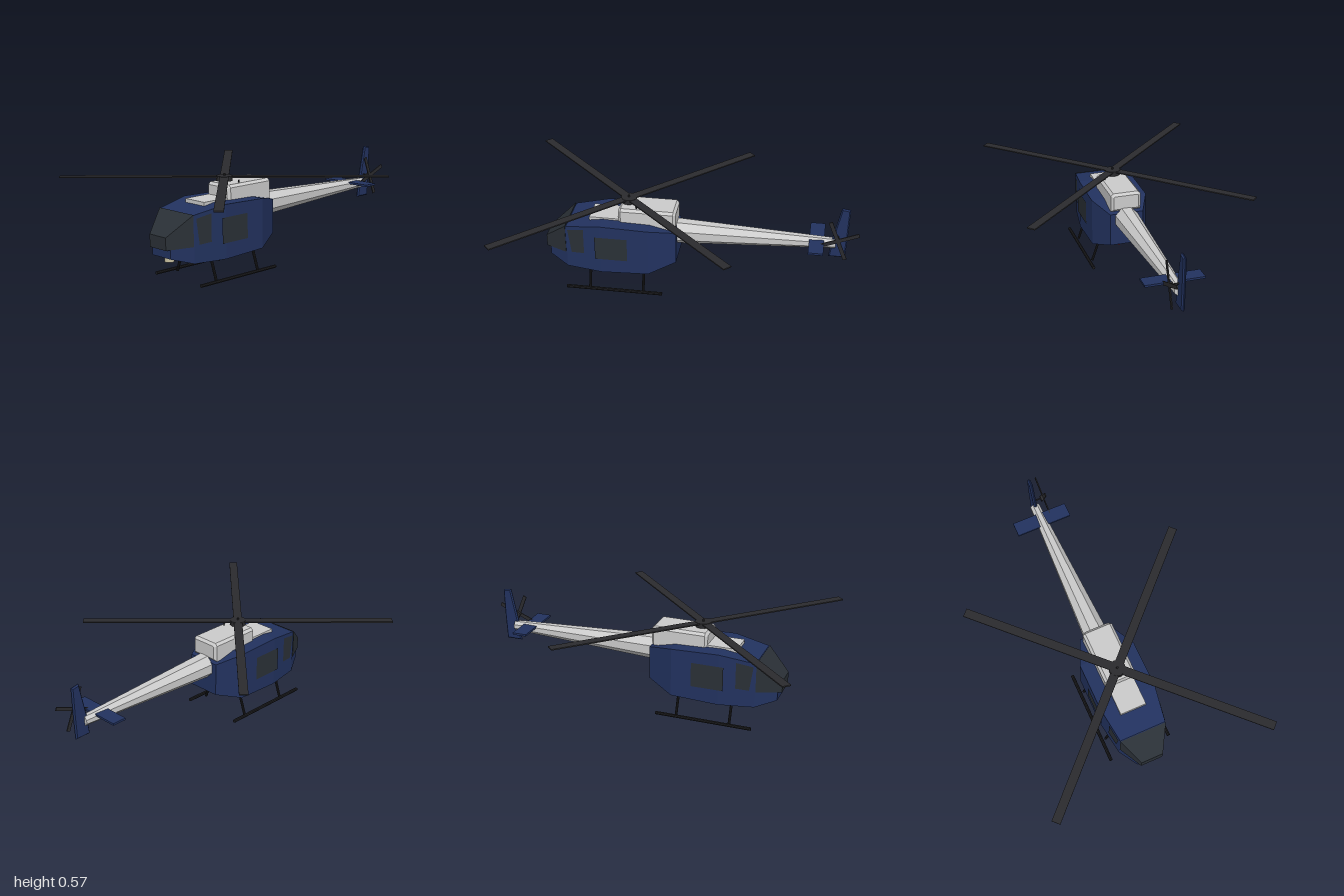
import * as THREE from 'three';

const mat = (color, side = THREE.FrontSide) =>
  new THREE.MeshStandardMaterial({ color, side, flatShading: true });
const navy = mat(0x22325f), grey = mat(0xcccccc), glass = mat(0x2a3036);
const pane = mat(0x2a3036, THREE.DoubleSide);
const rotorDark = mat(0x2b2b2e), black = mat(0x1c1c1e);

// Closed loft through rectangular sections [z, halfWidth, bottom, top], back to front
function loft(sections) {
  const rings = sections.map(([z, w, b, t]) => [[w, b, z], [w, t, z], [-w, t, z], [-w, b, z]]);
  const pos = [];
  const quad = (a, b, c, d) => pos.push(...a, ...b, ...c, ...a, ...c, ...d);
  for (let i = 0; i < rings.length - 1; i++) {
    for (let j = 0; j < 4; j++) {
      const k = (j + 1) % 4;
      quad(rings[i][j], rings[i][k], rings[i + 1][k], rings[i + 1][j]);
    }
  }
  quad(...[...rings[0]].reverse());
  quad(...rings[rings.length - 1]);
  const g = new THREE.BufferGeometry();
  g.setAttribute('position', new THREE.Float32BufferAttribute(pos, 3));
  g.computeVertexNormals();
  return g;
}

export function createModel() {
  const model = new THREE.Group();
  model.name = 'helicopter';
  const add = (name, geometry, material, x = 0, y = 0, z = 0, parent = model) => {
    const mesh = new THREE.Mesh(geometry, material);
    mesh.name = name;
    mesh.position.set(x, y, z);
    parent.add(mesh);
    return mesh;
  };
  const box = (x, y, z) => new THREE.BoxGeometry(x, y, z);
  const cyl = (r, h, n = 12) => new THREE.CylinderGeometry(r, r, h, n);

  // Cabin and wraparound windscreen
  add('fuselage', loft([
    [0.045, 0.10, 0.187, 0.384],
    [0.20, 0.168, 0.133, 0.42],
    [0.48, 0.168, 0.122, 0.428],
    [0.685, 0.138, 0.128, 0.395],
    [0.80, 0.074, 0.162, 0.27],
  ]), navy);
  add('windscreen', loft([
    [0.69, 0.139, 0.222, 0.397],
    [0.824, 0.066, 0.212, 0.283],
  ]), glass);

  // Side windows, laid just outside the hull [z, y]
  const windows = {
    doorWindow: [[0.675, 0.375], [0.578, 0.392], [0.578, 0.235], [0.655, 0.23]],
    cabinWindow: [[0.51, 0.357], [0.32, 0.357], [0.32, 0.213], [0.51, 0.213]],
  };
  for (const [name, outline] of Object.entries(windows)) {
    for (const s of [1, -1]) {
      const g = new THREE.ShapeGeometry(new THREE.Shape(outline.map((p) => new THREE.Vector2(...p))));
      const p = g.attributes.position;
      for (let i = 0; i < p.count; i++) {
        const z = p.getX(i);
        const hull = name === 'doorWindow' ? 0.168 - (z - 0.48) * 0.146 : 0.168;
        p.setXYZ(i, s * (hull + 0.004), p.getY(i), z);
      }
      g.computeVertexNormals();
      add(name, g, pane);
    }
  }

  // Engine cowling with chamfered edges, and roof plate ahead of it
  const bevel = 0.015;
  const cowlShape = new THREE.Shape();
  const cw = 0.09 - bevel, c = 0.006;
  cowlShape.moveTo(-cw, 0.41).lineTo(cw, 0.41).lineTo(cw, 0.492 - c).lineTo(cw - c, 0.492);
  cowlShape.lineTo(-cw + c, 0.492).lineTo(-cw, 0.492 - c);
  add('engineCowling', new THREE.ExtrudeGeometry(cowlShape, {
    depth: 0.335 - 2 * bevel, bevelEnabled: true, bevelSize: bevel, bevelThickness: bevel, bevelSegments: 1,
  }), grey, 0, 0, 0.05 + bevel);
  add('roofPlate', box(0.155, 0.03, 0.2), grey, 0, 0.422, 0.457);
  add('antenna', cyl(0.004, 0.03, 6), black, 0.062, 0.507, 0.28);

  // Octagonal tapering tail boom
  const boom = new THREE.CylinderGeometry(0.0735, 0.03, 0.915, 8, 1, false, Math.PI / 8).rotateX(Math.PI / 2);
  add('tailBoom', boom, grey, 0, 0.346, -0.4075);
  add('tailplane', box(0.336, 0.012, 0.086), navy, 0, 0.363, -0.757);

  // Tail fin, outlined in [z, y]
  const finShape = new THREE.Shape([
    [-0.836, 0.262], [-0.85, 0.37], [-0.892, 0.568], [-0.929, 0.562], [-0.925, 0.4], [-0.918, 0.262],
  ].map(([z, y]) => new THREE.Vector2(-z, y)));
  const fin = new THREE.ExtrudeGeometry(finShape, {
    depth: 0.004, bevelEnabled: true, bevelSize: 0.007, bevelThickness: 0.008, bevelSegments: 1,
  });
  fin.translate(0, 0, -0.002).rotateY(Math.PI / 2);
  add('tailFin', fin, navy);

  // Main rotor: four diagonal blades on a short mast
  const rotor = new THREE.Group();
  rotor.name = 'mainRotor';
  rotor.position.set(0, 0.54, 0.333);
  model.add(rotor);
  add('mast', cyl(0.018, 0.06), rotorDark, 0, -0.028, 0, rotor);
  add('hub', cyl(0.047, 0.028), rotorDark, 0, -0.008, 0, rotor);
  add('hubCap', cyl(0.006, 0.02, 8), rotorDark, 0, 0.008, 0, rotor);
  for (let i = 0; i < 4; i++) {
    const blade = add('mainBlade', box(0.918, 0.007, 0.05).translate(0.459, 0, 0), rotorDark, 0, 0, 0, rotor);
    blade.rotation.y = Math.PI / 4 + i * Math.PI / 2;
  }

  // Tail rotor on the left of the fin
  const tailRotor = new THREE.Group();
  tailRotor.name = 'tailRotor';
  tailRotor.position.set(0.062, 0.396, -0.876);
  model.add(tailRotor);
  add('tailHub', cyl(0.016, 0.02).rotateZ(Math.PI / 2), rotorDark, -0.008, 0, 0, tailRotor);
  add('tailShaft', cyl(0.005, 0.06, 6).rotateZ(Math.PI / 2), rotorDark, -0.032, 0, 0, tailRotor);
  for (let i = 0; i < 2; i++) {
    const blade = add('tailBlade', box(0.006, 0.022, 0.254), rotorDark, 0, 0, 0, tailRotor);
    blade.rotation.x = 0.38 + i * Math.PI / 2;
  }

  // Landing skids with splayed struts
  for (const s of [1, -1]) {
    add('skid', cyl(0.01, 0.57, 8).rotateX(Math.PI / 2), black, s * 0.186, 0.0145, 0.4);
    for (const z of [0.55, 0.232]) {
      const strut = add('skidStrut', cyl(0.008, 0.136, 8), black, s * 0.14, 0.071, z);
      strut.rotation.z = s * 0.33;
    }
  }

  // Belly lights
  add('searchlight', cyl(0.027, 0.045), mat(0xc8c0a0), 0, 0.15, 0.745);
  add('blueBellyLight', cyl(0.013, 0.02), mat(0x2244cc), 0, 0.12, 0.54);
  add('redBellyLight', cyl(0.013, 0.026), mat(0xcc2222), 0, 0.123, 0.2);

  return model;
}
